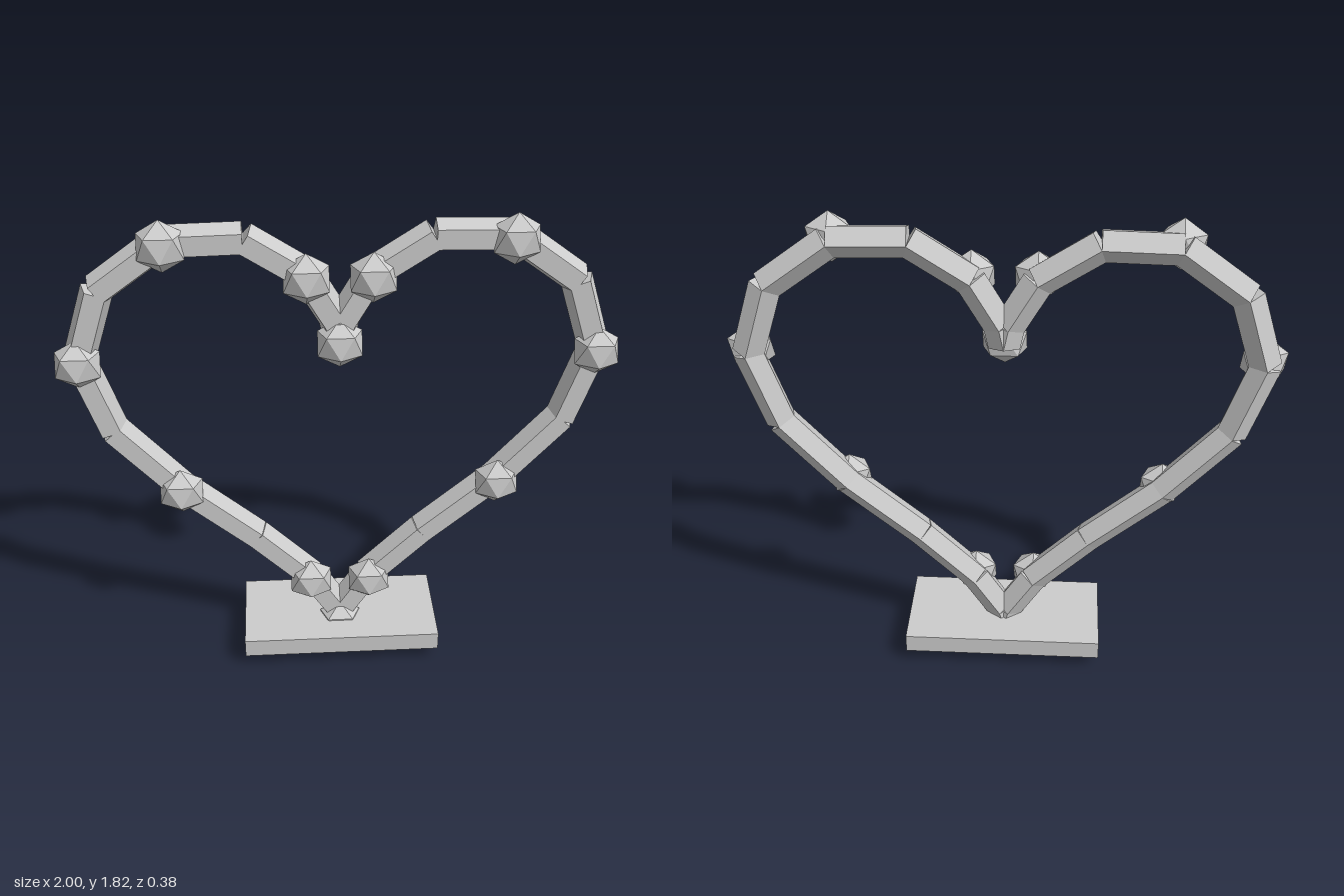
import * as THREE from 'three';

const SCALE = 0.0575, LIFT = 1.0705, STEPS = 24;

// Classic heart curve, t = 0 at the upper notch
function heartPoint(t) {
  const x = 16 * Math.sin(t) ** 3;
  const y = 13 * Math.cos(t) - 5 * Math.cos(2 * t) - 2 * Math.cos(3 * t) - Math.cos(4 * t);
  return new THREE.Vector3(x * SCALE, y * SCALE + LIFT, 0);
}

// Five-sided bar with a flat face to the front and a ridge at the back
function barGeometry(length) {
  const g = new THREE.CylinderGeometry(0.06, 0.06, length, 5).rotateY(Math.PI).toNonIndexed();
  g.computeVertexNormals();
  return g;
}

export function createModel() {
  const model = new THREE.Group();
  model.name = 'heartOrnament';
  const grey = new THREE.MeshStandardMaterial({ color: 0xcccccc });
  grey.name = 'light grey';

  // Heart outline: straight bars between neighbouring curve points
  const frame = new THREE.Group();
  frame.name = 'heartFrame';
  const points = [];
  for (let i = 0; i < STEPS; i++) points.push(heartPoint((i / STEPS) * Math.PI * 2));
  points.forEach((a, i) => {
    const b = points[(i + 1) % STEPS];
    const bar = new THREE.Mesh(barGeometry(a.distanceTo(b)), grey);
    bar.name = 'frameBar';
    bar.position.addVectors(a, b).multiplyScalar(0.5);
    bar.rotation.z = Math.atan2(a.x - b.x, b.y - a.y);
    frame.add(bar);
  });
  model.add(frame);

  // Slightly flattened gems on every second joint, one corner pointing up
  const gemGeometry = new THREE.IcosahedronGeometry(0.093, 0)
    .rotateX(Math.atan((1 + Math.sqrt(5)) / 2))
    .scale(1, 1, 0.75);
  const gems = new THREE.Group();
  gems.name = 'gems';
  for (let i = 0; i < STEPS; i += 2) {
    const gem = new THREE.Mesh(gemGeometry, grey);
    gem.name = 'gem';
    gem.position.set(points[i].x, points[i].y, 0.034);
    gems.add(gem);
  }
  model.add(gems);

  // Stand
  const base = new THREE.Mesh(new THREE.BoxGeometry(0.77, 0.075, 0.38), grey);
  base.name = 'base';
  base.position.y = 0.0925;
  model.add(base);

  return model;
}
